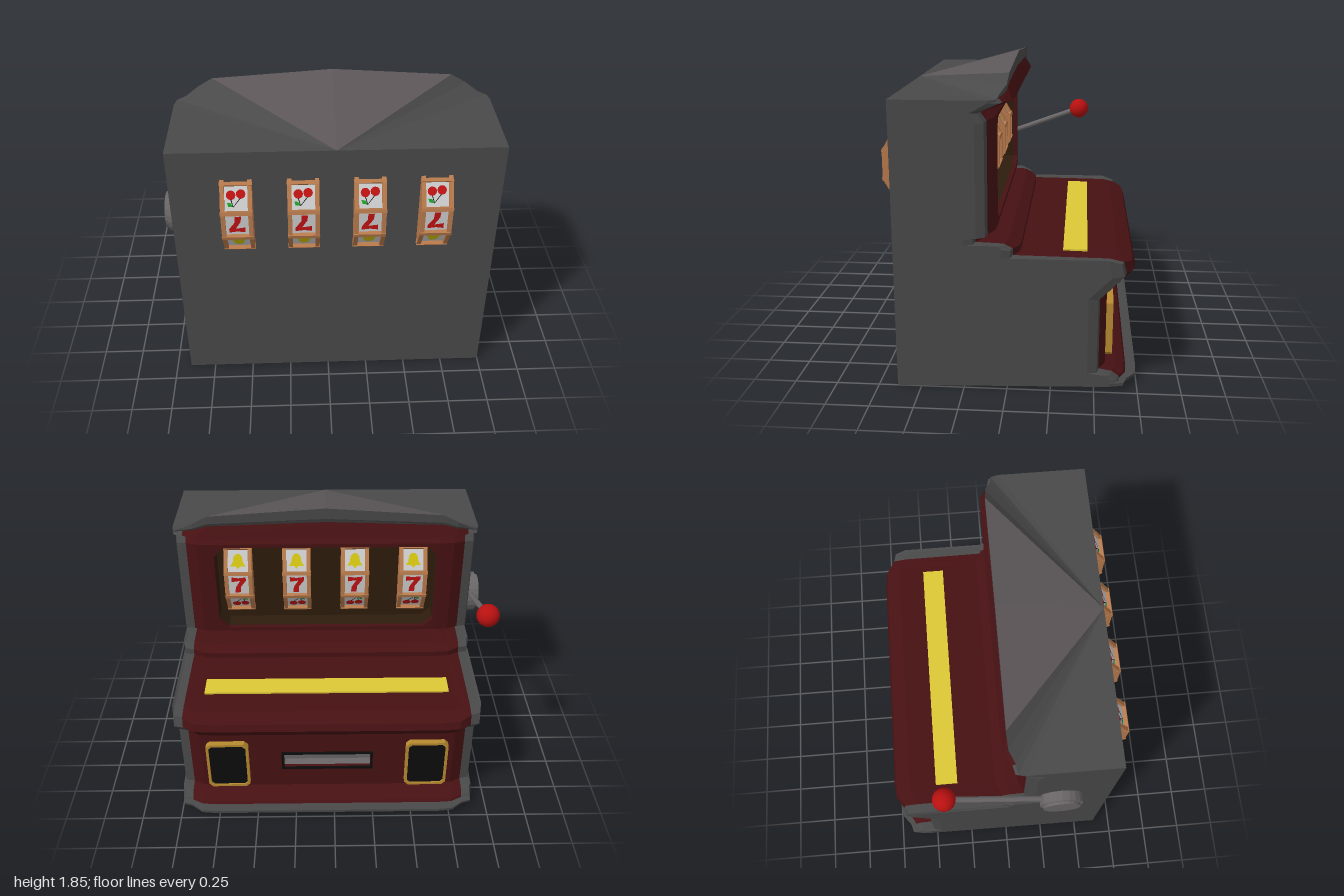
import * as THREE from 'three';

const mat = (color) => new THREE.MeshStandardMaterial({ color, flatShading: true, side: THREE.DoubleSide });
const GREY = mat(0x4a494a), RED = mat(0x471113), BROWN = mat(0x2e1c0c), TAN = mat(0xb87a4c);
const YELLOW = mat(0xdcc836), GOLD = mat(0xb88a30), BLACK = mat(0x0c0c0c), STEEL = mat(0x6a6668);
const ROOF = mat(0x5c5658), WHITE = mat(0xcccccc), SCARLET = mat(0xc01212), GREEN = mat(0x18a028), BELL = mat(0xd0c010);

function add(parent, name, geometry, material, x = 0, y = 0, z = 0) {
  const mesh = new THREE.Mesh(geometry, material);
  mesh.name = name;
  mesh.position.set(x, y, z);
  parent.add(mesh);
  return mesh;
}

// flat-shaded surface from a list of corner points, three per triangle
function triangles(points) {
  const g = new THREE.BufferGeometry().setFromPoints(points);
  g.computeVertexNormals();
  return g;
}

const polygon = (pts) => new THREE.Shape(pts.map(([x, y]) => new THREE.Vector2(x, y)));

// rectangle with cut corners
function cutRect(w, h, c) {
  return polygon([[-w, -h + c], [-w + c, -h], [w - c, -h], [w, -h + c], [w, h - c], [w - c, h], [-w + c, h], [-w, h - c]]);
}

// extruded panel with an opening
function framed(outer, hole, depth) {
  const s = outer.clone();
  s.holes.push(new THREE.Path(hole.getPoints()));
  return new THREE.ExtrudeGeometry(s, { depth, bevelEnabled: false });
}

// cabinet profile rows: side z, side y, middle z, middle y, share of the hood arch
const ROWS = [
  [-0.58, 0.035, -0.75, 0.04, 0], [-0.59, 0.055, -0.75, 0.058, 0],
  [-0.585, 0.065, -0.69, 0.06, 0], [-0.58, 0.075, -0.68, 0.075, 0],
  [-0.56, 0.105, -0.63, 0.1, 0], [-0.46, 0.115, -0.57, 0.115, 0],
  [-0.46, 0.57, -0.57, 0.55, 0], [-0.59, 0.7, -0.725, 0.71, 0],
  [-0.57, 0.8, -0.71, 0.755, 0], [-0.5, 0.8, -0.62, 0.785, 0],
  [0.03, 0.8, -0.07, 0.795, 0], [0.03, 0.85, -0.07, 0.83, 0],
  [0.05, 0.87, 0, 0.86, 0], [0.24, 0.87, 0.14, 0.87, 0],
  [0.24, 0.905, 0.14, 0.9, 0], [0.17, 0.91, 0.07, 0.92, 0],
  [0.17, 1.55, 0.07, 1.57, 0], [0.2, 1.61, 0.11, 1.61, 0],
  [0.1, 1.665, -0.03, 1.66, 0], [0.1, 1.67, 0.01, 1.67, 0.5],
  [0.1, 1.675, 0, 1.675, 0.62], [0.1, 1.68, 0, 1.68, 1],
];
const PANEL_ROW = 5, WINDOW_ROW = 15, HOOD_EDGE_ROW = 19;
// stations from the side to the middle: x, blend to middle profile, arch height
const STATIONS = [[0.955, 0, 0], [0.94, 0.5, 0.005], [0.885, 0.6, 0.025], [0.815, 0.94, 0.068], [0.725, 1, 0.12], [0, 1, 0.17]];
const BACK = 0.64, TOP = 1.68;

function buildCabinet(root) {
  const V = (x, y, z) => new THREE.Vector3(x, y, z);
  const grey = [], red = [], roof = [];
  const at = (i, j, s) => {
    const [x, f, arch] = STATIONS[i], [zs, ys, zc, yc, a] = ROWS[j];
    return V(s * x, ys + (yc - ys) * f + a * arch, zs + (zc - zs) * f);
  };
  const last = ROWS.length - 1, middle = STATIONS.length - 2;
  for (const s of [-1, 1]) {
    const tri = (list, a, b, c) => list.push(...(s > 0 ? [a, b, c] : [a, c, b]));
    const quad = (list, a, b, c, d) => { tri(list, a, b, c); tri(list, a, c, d); };
    for (let i = 0; i <= middle; i++) {
      for (let j = 0; j < last; j++) {
        if (i === middle && (j === PANEL_ROW || j === WINDOW_ROW)) continue; // filled by framed panels
        const list = i < 2 || j < 2 || j >= HOOD_EDGE_ROW ? grey : red;
        quad(list, at(i, j, s), at(i + 1, j, s), at(i + 1, j + 1, s), at(i, j + 1, s));
      }
      // roof fan
      tri(i === middle ? roof : grey, V(0, TOP, BACK), at(i, last, s), at(i + 1, last, s));
    }
    const w = s * STATIONS[0][0];
    tri(grey, V(0, TOP, BACK), V(w, TOP, BACK), at(0, last, s));
    quad(grey, V(0, 0, BACK), V(w, 0, BACK), V(w, TOP, BACK), V(0, TOP, BACK));
    // side wall
    const side = polygon([...ROWS.map(([z, y]) => [z, y]), [BACK, TOP], [BACK, 0]]);
    add(root, 'sideWall', new THREE.ShapeGeometry(side).rotateY(-Math.PI / 2), GREY, w);
  }
  add(root, 'cabinetShell', triangles(grey), GREY);
  add(root, 'roofCentre', triangles(roof), ROOF);
  add(root, 'redFascia', triangles(red), RED);
}

function buildFrontPanels(root) {
  // reel window with dark recess
  const win = cutRect(0.71, 0.3, 0.06), winOuter = cutRect(0.725, 0.325, 0);
  add(root, 'windowFrame', framed(winOuter, win, 0.03), RED, 0, 1.245, 0.07);
  add(root, 'windowRecess', framed(winOuter, win, 0.12), BROWN, 0, 1.245, 0.1);
  add(root, 'windowBack', new THREE.BoxGeometry(1.45, 0.65, 0.01), BROWN, 0, 1.245, 0.22);
  // lower panel with payout tray
  const slot = cutRect(0.28, 0.055, 0.004);
  add(root, 'lowerPanel', framed(cutRect(0.725, 0.2175, 0), slot, 0.02), RED, 0, 0.3325, -0.57);
  add(root, 'trayRecess', framed(cutRect(0.31, 0.08, 0), slot, 0.06), STEEL, 0, 0.3325, -0.55);
  add(root, 'trayBack', new THREE.BoxGeometry(0.62, 0.16, 0.01), STEEL, 0, 0.3325, -0.49);
  add(root, 'trayRim', framed(cutRect(0.295, 0.07, 0), slot, 0.012), BLACK, 0, 0.3325, -0.58);
  // speakers
  const rim = framed(cutRect(0.135, 0.18, 0.025), cutRect(0.118, 0.163, 0.02), 0.045);
  for (const x of [-0.64, 0.64]) {
    add(root, 'speakerFrame', rim, GOLD, x, 0.32, -0.607);
    add(root, 'speakerGrille', new THREE.BoxGeometry(0.245, 0.335, 0.045), BLACK, x, 0.32, -0.575);
  }
  add(root, 'shelfStripe', new THREE.BoxGeometry(1.54, 0.012, 0.14), YELLOW, 0, 0.794, -0.38);
}

// fruit, ribbon and bell symbols, flat on the drum faces
const flat = (pts) => new THREE.ShapeGeometry(polygon(pts));
const SYMBOLS = [
  [['redRibbon', SCARLET, flat([[-0.045, 0.055], [-0.045, 0.02], [0.01, 0.028], [-0.02, -0.02], [-0.025, -0.058],
    [0.012, -0.058], [0.015, -0.015], [0.048, 0.03], [0.048, 0.055], [0, 0.048]])]],
  [['bell', BELL, flat([[-0.05, -0.035], [-0.015, -0.035], [0, -0.052], [0.015, -0.035], [0.05, -0.035], [0.033, -0.01],
    [0.028, 0.025], [0.01, 0.045], [-0.01, 0.045], [-0.028, 0.025], [-0.033, -0.01]])]],
  [['cherry', SCARLET, new THREE.CircleGeometry(0.027, 12).translate(-0.027, -0.026, 0)],
    ['cherry', SCARLET, new THREE.CircleGeometry(0.027, 12).translate(0.029, -0.02, 0)],
    ['stem', BLACK, flat([[-0.027, -0.002], [-0.021, -0.002], [0.016, 0.045], [0.026, 0.005], [0.031, 0.005], [0.018, 0.052]])],
    ['leaf', GREEN, flat([[0.018, 0.048], [0.03, 0.025], [0.052, 0.022], [0.045, 0.045]])]],
];

function buildReel(root, x) {
  const reel = new THREE.Group();
  reel.name = 'reel';
  reel.position.set(x, 1.25, 0.425);
  const drum = (r, w) => new THREE.CylinderGeometry(r, r, w, 12, 1, false, Math.PI / 12).rotateZ(Math.PI / 2);
  add(reel, 'drum', drum(0.316, 0.15), WHITE);
  for (const s of [-1, 1]) add(reel, 'reelSide', drum(0.335, 0.025), TAN, s * 0.0785);
  for (let k = 0; k < 12; k++) {
    const face = new THREE.Group();
    face.name = 'reelFace';
    face.rotation.x = k * Math.PI / 6;
    for (const [name, material, geometry] of SYMBOLS[k % 3]) {
      add(face, name, geometry, material, 0, 0, 0.309).rotation.z = Math.PI;
    }
    reel.add(face);
    const bar = new THREE.Group();
    bar.name = 'reelBar';
    bar.rotation.x = (k + 0.5) * Math.PI / 6;
    add(bar, 'slat', new THREE.BoxGeometry(0.185, 0.022, 0.035), TAN, 0, 0, 0.319);
    reel.add(bar);
  }
  root.add(reel);
}

function buildLever(root) {
  const hub = new THREE.Vector3(-0.975, 1.065, 0.325), tip = new THREE.Vector3(-0.975, 1.32, -0.38);
  const disc = (r, w) => new THREE.CylinderGeometry(r, r, w, 20).rotateZ(Math.PI / 2);
  add(root, 'leverHub', disc(0.132, 0.06), STEEL, -0.985, hub.y, hub.z);
  add(root, 'leverHubCap', disc(0.115, 0.08), STEEL, -0.994, hub.y, hub.z);
  add(root, 'leverRod', new THREE.TubeGeometry(new THREE.LineCurve3(hub, tip), 1, 0.018, 10), STEEL);
  const ball = new THREE.MeshStandardMaterial({ color: 0xb81010 });
  add(root, 'leverBall', new THREE.SphereGeometry(0.07, 24, 16), ball, tip.x, tip.y, tip.z);
}

export function createModel() {
  const model = new THREE.Group();
  model.name = 'slotMachine';
  const machine = new THREE.Group();
  machine.name = 'machine';
  machine.position.x = 0.045;
  buildCabinet(machine);
  buildFrontPanels(machine);
  for (const x of [-0.57, -0.19, 0.19, 0.57]) buildReel(machine, x);
  buildLever(machine);
  model.add(machine);
  return model;
}
